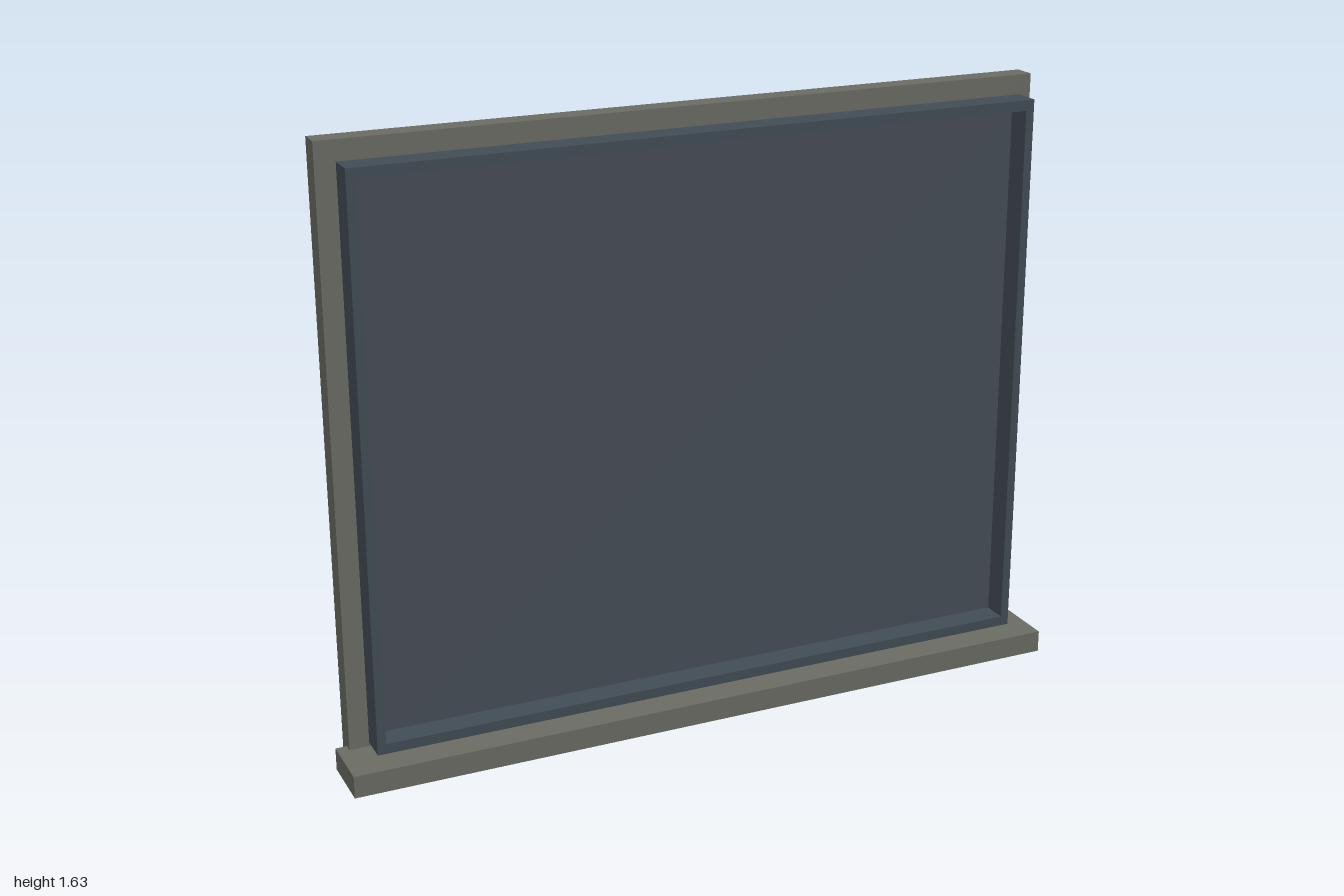
import * as THREE from 'three';

export function createModel() {
  const model = new THREE.Group();
  const stone = new THREE.MeshStandardMaterial({ color: 0x6a6b63 });
  stone.name = 'warm grey surround';
  const slate = new THREE.MeshStandardMaterial({ color: 0x424c55 });
  slate.name = 'slate frame';
  const glass = new THREE.MeshStandardMaterial({ color: 0x464d57 });
  glass.name = 'dark glass';

  const add = (name, geometry, material) => {
    const mesh = new THREE.Mesh(geometry, material);
    mesh.name = name;
    model.add(mesh);
  };
  // Box centred on x, given its half width and its y and z ranges
  const slab = (halfWidth, y0, y1, z0, z1) =>
    new THREE.BoxGeometry(halfWidth * 2, y1 - y0, z1 - z0)
      .translate(0, (y0 + y1) / 2, (z0 + z1) / 2);
  // Closed rectangular outline for the frame and its opening
  const rectangle = (Type, halfWidth, y0, y1) => new Type([
    new THREE.Vector2(-halfWidth, y0), new THREE.Vector2(halfWidth, y0),
    new THREE.Vector2(halfWidth, y1), new THREE.Vector2(-halfWidth, y1),
  ]);

  // Surround: backing board and projecting sill
  add('backBoard', slab(0.97, 0.035, 1.628, -0.1, -0.04), stone);
  add('sill', slab(1, 0, 0.06, -0.063, 0.1), stone);

  // Thin raised frame around the pane
  const outline = rectangle(THREE.Shape, 0.923, 0.08, 1.58);
  outline.holes.push(rectangle(THREE.Path, 0.9, 0.107, 1.552));
  add('frame', new THREE.ExtrudeGeometry(outline, { depth: 0.075, bevelEnabled: false })
    .translate(0, 0, -0.02), slate);

  // Recessed pane
  add('pane', slab(0.9, 0.107, 1.552, -0.04, -0.013), glass);

  return model;
}
